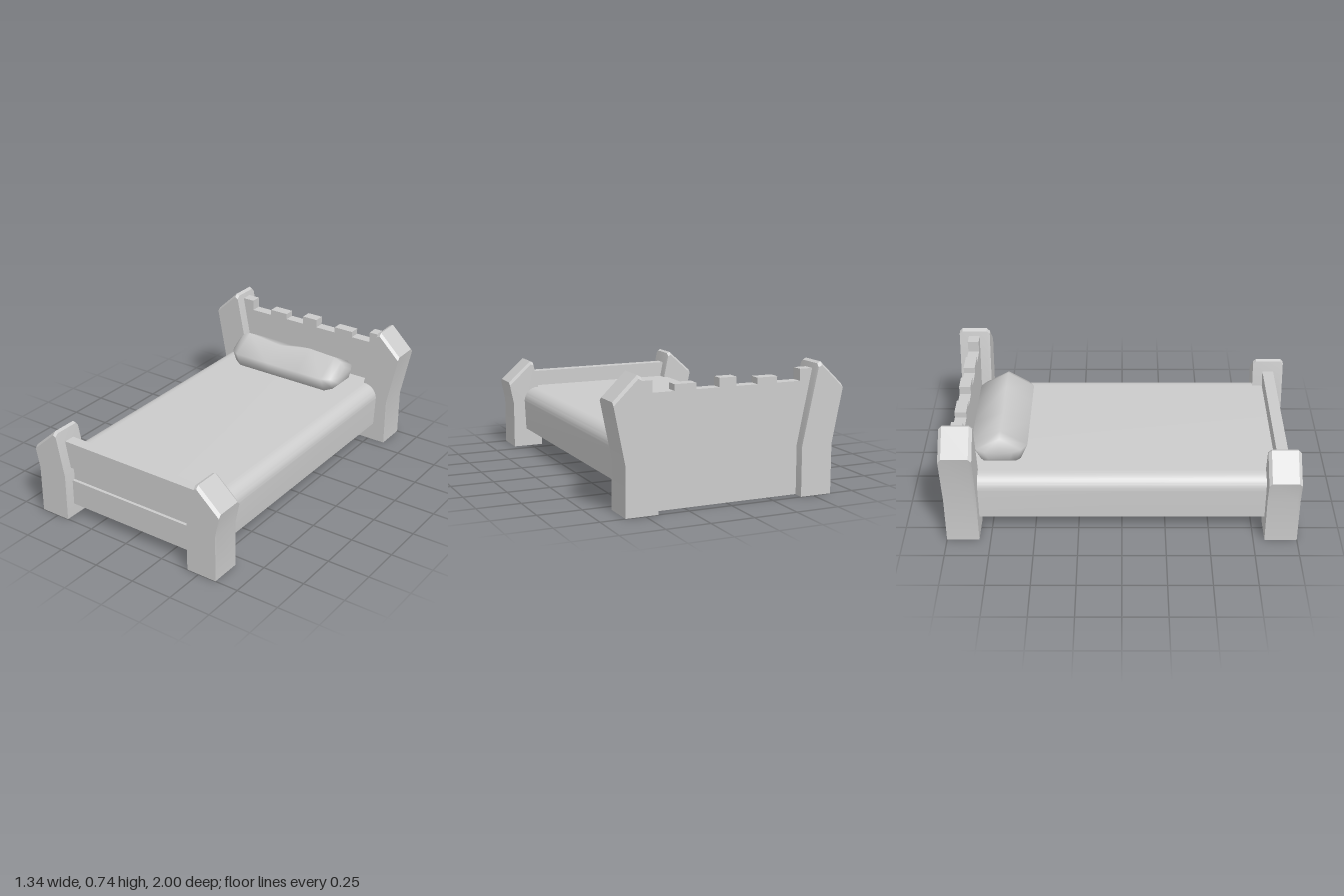
import * as THREE from 'three';
import { toCreasedNormals } from 'three/addons/utils/BufferGeometryUtils.js';

const material = new THREE.MeshStandardMaterial({ color: 0xcccccc });

function addMesh(parent, name, geometry) {
  const mesh = new THREE.Mesh(geometry, material);
  mesh.name = name;
  parent.add(mesh);
  return mesh;
}

// Skins a stack of rings (arrays of [x, y, z], counter-clockwise seen from the last ring) and caps the ends.
function loft(rings, crease) {
  const n = rings[0].length, last = (rings.length - 1) * n;
  const points = rings.flat(), index = [];
  for (let i = 0; i < last; i += n) {
    for (let j = 0; j < n; j++) {
      const k = (j + 1) % n;
      index.push(i + j, i + k, i + n + k, i + j, i + n + k, i + n + j);
    }
  }
  const centre = ring => [0, 1, 2].map(a => ring.reduce((sum, p) => sum + p[a], 0) / n);
  const c = points.length;
  points.push(centre(rings[0]), centre(rings[rings.length - 1]));
  for (let j = 0; j < n; j++) {
    const k = (j + 1) % n;
    index.push(c, k, j, c + 1, last + j, last + k);
  }
  const geometry = new THREE.BufferGeometry();
  geometry.setAttribute('position', new THREE.Float32BufferAttribute(points.flat(), 3));
  geometry.setIndex(index);
  geometry.computeVertexNormals();
  return crease ? toCreasedNormals(geometry, crease) : geometry;
}

// Leaning post with a sloped, slightly bevelled top; side is +1 or -1
function postGeometry(top, side, z0, z1) {
  const outline = [[0.425, 0], [0.61, 0], [0.61, 0.28], ...top, [0.425, 0.28]];
  const bevel = 0.018;
  const ring = (z, drop) => {
    const r = outline.map(([x, y]) => [x * side, y > 0.3 ? y - drop : y, z]);
    return side > 0 ? r : r.reverse();
  };
  return loft([ring(z0, bevel), ring(z0 + bevel, 0), ring(z1 - bevel, 0), ring(z1, bevel)], 0.6);
}

function extrude(points, z0, z1) {
  const shape = new THREE.Shape(points.map(([x, y]) => new THREE.Vector2(x, y)));
  return new THREE.ExtrudeGeometry(shape, { depth: z1 - z0, bevelEnabled: false }).translate(0, 0, z0);
}

export function createModel() {
  const bed = new THREE.Group();
  bed.name = 'bed';

  // Four posts, the head pair taller
  const headTop = [[0.672, 0.605], [0.537, 0.735], [0.517, 0.725]];
  const footTop = [[0.634, 0.415], [0.492, 0.543], [0.474, 0.535]];
  for (const side of [1, -1]) {
    const label = side > 0 ? 'Left' : 'Right';
    addMesh(bed, 'head' + label + 'Post', postGeometry(headTop, side, -1, -0.815));
    addMesh(bed, 'foot' + label + 'Post', postGeometry(footTop, side, 0.815, 1));
  }

  // Headboard with a notched top edge
  const base = 0.63;
  const teeth = [[-0.51, -0.435, 0.695], [-0.295, -0.175, 0.665], [-0.05, 0.05, 0.68],
    [0.185, 0.31, 0.665], [0.435, 0.51, 0.695]];
  const edge = teeth.flatMap(([x0, x1, y]) => [[x0, base], [x0, y], [x1, y], [x1, base]]);
  const headboard = [[0.46, 0.28], [0.46, 0.002], [-0.46, 0.002], [-0.46, 0.28], ...edge.slice(1, -1)];
  addMesh(bed, 'headboard', extrude(headboard, -0.943, -0.877));

  // Footboard: two planks and a recessed strip between them
  const planks = [['footboardTopPlank', 0.31, 0.47, 0.066], ['footboardStrip', 0.23, 0.31, 0.03],
    ['footboardLowerPlank', 0.075, 0.23, 0.066]];
  for (const [name, y0, y1, depth] of planks) {
    addMesh(bed, name, new THREE.BoxGeometry(0.92, y1 - y0, depth))
      .position.set(0, (y0 + y1) / 2, 0.908);
  }

  // Mattress cover: a thin arched shell, open below
  const w = 0.538, low = 0.112, high = 0.377, r = 0.085, t = 0.008;
  const cover = new THREE.Shape();
  cover.moveTo(w, low);
  cover.absarc(w - r, high - r, r, 0, Math.PI / 2, false);
  cover.absarc(r - w, high - r, r, Math.PI / 2, Math.PI, false);
  cover.lineTo(-w, low);
  cover.lineTo(t - w, low);
  cover.absarc(r - w, high - r, r - t, Math.PI, Math.PI / 2, true);
  cover.absarc(w - r, high - r, r - t, Math.PI / 2, 0, true);
  cover.lineTo(w - t, low);
  const shell = new THREE.ExtrudeGeometry(cover, { depth: 1.76, bevelEnabled: false, curveSegments: 8 });
  addMesh(bed, 'mattress', toCreasedNormals(shell.translate(0, 0, -0.88), 0.6));

  // Pillow: five-sided sections with a sagging ridge; each entry is x, scale, ridge height
  const sections = [[-0.405, 0.5, 0.56], [-0.38, 0.8, 0.56], [-0.33, 1, 0.56], [-0.1, 1, 0.535],
    [0.12, 1, 0.572], [0.295, 1, 0.562], [0.345, 0.8, 0.562], [0.372, 0.5, 0.56]];
  const pillow = sections.map(([x, s, ridge]) =>
    [[0.375, -0.81], [0.47, -0.86], [ridge, -0.69], [0.47, -0.538], [0.375, -0.58]]
      .map(([y, z]) => [x, 0.46 + (y - 0.46) * s, -0.698 + (z + 0.698) * s]));
  addMesh(bed, 'pillow', loft(pillow));

  return bed;
}
